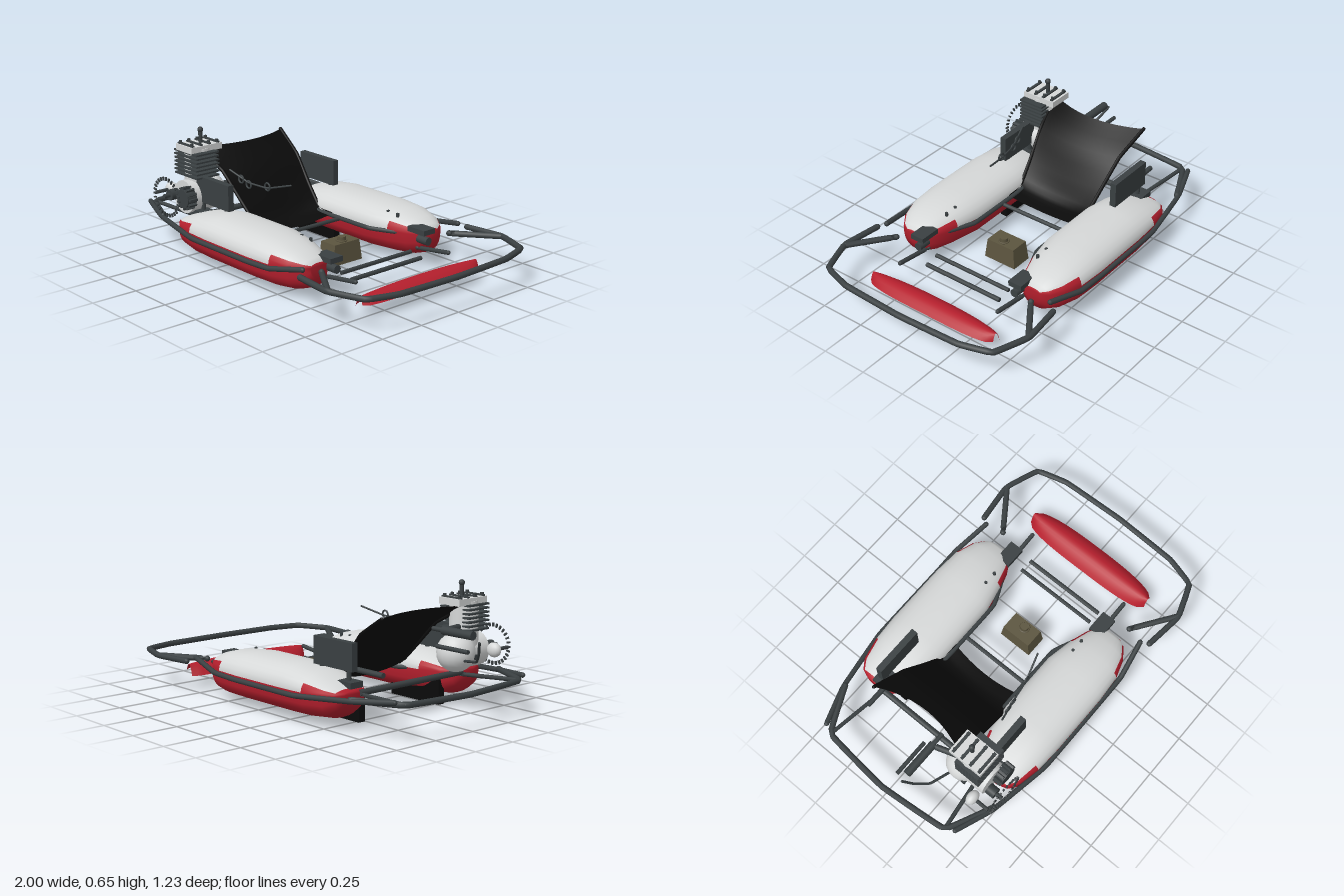
import * as THREE from 'three';

const mat = (name, color, extra = {}) => Object.assign(new THREE.MeshStandardMaterial({ color, ...extra }), { name });

export function createModel() {
  const red = mat('red bodywork', 0xb51f2d, { side: THREE.DoubleSide });
  const pale = mat('pale grey', 0xd6d8d8);
  const black = mat('black', 0x0b0b0b, { side: THREE.DoubleSide });
  const dark = mat('dark steel', 0x3a4042);
  const khaki = mat('khaki', 0x5c553f);

  const root = new THREE.Group();
  root.name = 'kart';
  const add = (name, geo, m, x = 0, y = 0, z = 0) => {
    const mesh = new THREE.Mesh(geo, m);
    mesh.name = name;
    mesh.position.set(x, y, z);
    root.add(mesh);
    return mesh;
  };
  const box = (name, m, w, h, d, x, y, z) => add(name, new THREE.BoxGeometry(w, h, d), m, x, y, z);
  // cylinder along a chosen axis
  const cyl = (name, m, axis, r, len, x, y, z, sides = 14) => {
    const g = new THREE.CylinderGeometry(r, r, len, sides);
    if (axis === 'x') g.rotateZ(Math.PI / 2);
    if (axis === 'z') g.rotateX(Math.PI / 2);
    return add(name, g, m, x, y, z);
  };
  // bent tube through points, with end caps
  const tube = (name, pts, r, m = dark) => {
    const v = pts.map((p) => new THREE.Vector3(...p));
    const curve = new THREE.CatmullRomCurve3(v, false, 'catmullrom', 0.08);
    add(name, new THREE.TubeGeometry(curve, (v.length - 1) * 8, r, 8), m);
    for (const p of [v[0], v[v.length - 1]]) add(name + 'End', new THREE.SphereGeometry(r, 8, 6), m, p.x, p.y, p.z);
  };

  // side pod lofted along x: [x, centre z, half width, top, bottom]
  const stations = [
    [-0.59, 0.40, 0.05, 0.185, 0.13], [-0.57, 0.40, 0.10, 0.197, 0.08], [-0.52, 0.40, 0.135, 0.217, 0.045],
    [-0.40, 0.395, 0.165, 0.255, 0.033], [-0.25, 0.39, 0.178, 0.275, 0.03], [0.1, 0.39, 0.178, 0.275, 0.03],
    [0.25, 0.40, 0.158, 0.262, 0.033], [0.35, 0.40, 0.125, 0.236, 0.04], [0.41, 0.395, 0.085, 0.21, 0.06],
    [0.43, 0.39, 0.05, 0.19, 0.11],
  ];
  const podGeometry = (s) => {
    const N = 24, last = stations.length - 1, mid = 0.17, pos = [], reds = [], pales = [];
    stations.forEach(([x, zc, w, top, bottom]) => {
      for (let j = 0; j < N; j++) {
        const a = (j / N) * Math.PI * 2, c = Math.cos(a), sn = Math.sin(a);
        const y = sn >= 0 ? mid + (top - mid) * sn ** 0.95 : mid - (mid - bottom) * (-sn) ** 0.65;
        pos.push(x, y, s * (zc + w * Math.sign(c) * Math.abs(c) ** 0.85));
      }
    });
    const tri = (list, a, b, c) => list.push(...(s > 0 ? [a, b, c] : [a, c, b]));
    for (let i = 0; i < last; i++) {
      for (let j = 0; j < N; j++) {
        const a = i * N + j, b = i * N + (j + 1) % N, c = a + N, d = b + N;
        const low = j < 2 || j > 9, end = i < 3 || i > 5;
        const list = j >= N / 2 || (low && end) || i === 0 ? reds : pales;
        tri(list, a, c, b);
        tri(list, b, c, d);
      }
    }
    for (let j = 1; j < N - 1; j++) {
      tri(reds, 0, j, j + 1);
      tri(reds, last * N, last * N + j + 1, last * N + j);
    }
    const g = new THREE.BufferGeometry();
    g.setAttribute('position', new THREE.Float32BufferAttribute(pos, 3));
    g.setIndex([...reds, ...pales]);
    g.addGroup(0, reds.length, 0);
    g.addGroup(reds.length, pales.length, 1);
    g.computeVertexNormals();
    return g;
  };

  // mirrored pairs
  for (const s of [1, -1]) {
    add('sidePod', podGeometry(s), [red, pale]);
    tube('sideRail', [[-0.92, 0.195, s * 0.44], [-0.71, 0.175, s * 0.515], [-0.36, 0.15, s * 0.572],
      [0.1, 0.15, s * 0.572], [0.27, 0.158, s * 0.572], [0.48, 0.2, s * 0.535]], 0.014);
    tube('innerRail', [[-0.42, 0.17, s * 0.28], [-0.26, 0.165, s * 0.205], [0.15, 0.165, s * 0.205], [0.3, 0.165, s * 0.27]], 0.012);
    tube('bumperBrace', [[0.51, 0.175, s * 0.44], [0.73, 0.18, s * 0.595]], 0.016);
    tube('rearBrace', [[-0.58, 0.16, s * 0.34], [-0.94, 0.18, s * 0.39]], 0.011);
    box('frontMount', dark, 0.12, 0.028, 0.08, 0.425, 0.2, s * 0.32);
    cyl('frontMountBolt', dark, 'x', 0.022, 0.07, 0.45, 0.15, s * 0.315);
    tube('frontStub', [[0.4, 0.095, s * 0.32], [0.62, 0.125, s * 0.32]], 0.012);
    box('sidePlate', dark, 0.28, 0.14, 0.035, -0.43, 0.34, s * 0.365);
    for (const x of [-0.53, -0.33]) cyl('plateFoot', dark, 'y', 0.012, 0.07, x, 0.25, s * 0.365, 8);
    cyl('plateFitting', dark, 'x', 0.014, 0.18, -0.63, 0.27, s * 0.32, 10);
    box('rearMount', dark, 0.1, 0.03, 0.08, -0.54, 0.21, s * 0.37);
    box('lowerSkid', black, 0.345, 0.13, 0.04, -0.35, 0.065, s * 0.275);
    for (const x of [0.2, 0.27]) cyl('podBolt', dark, 'y', 0.009, 0.02, x, 0.245, s * 0.3, 8);
  }

  // bumpers and cross bars
  const half = (pts) => [...pts.map(([x, y, z]) => [x, y, -z]), ...pts.slice(0, -1).reverse()];
  tube('frontBumper', half([[0.51, 0.18, 0.575], [0.73, 0.18, 0.6], [0.92, 0.178, 0.53], [0.97, 0.176, 0.36], [0.984, 0.175, 0]]), 0.016);
  tube('rearBumper', half([[-0.7, 0.18, 0.51], [-0.945, 0.18, 0.39], [-0.984, 0.178, 0]]), 0.016);
  cyl('crossBar', dark, 'z', 0.011, 0.48, 0.43, 0.1, 0, 8);
  cyl('crossBar', dark, 'z', 0.012, 0.48, 0.505, 0.085, 0, 8);
  cyl('floorBar', dark, 'z', 0.011, 0.42, -0.08, 0.16, 0, 8);
  cyl('rearAxle', dark, 'z', 0.016, 0.7, -0.59, 0.17, 0, 12);

  // sheet bent by a rule over u, v in 0..1
  const sheet = (nu, nv, f) => {
    const g = new THREE.PlaneGeometry(1, 1, nu, nv), p = g.attributes.position;
    for (let i = 0; i < p.count; i++) p.setXYZ(i, ...f(p.getX(i) + 0.5, p.getY(i) + 0.5));
    g.computeVertexNormals();
    return g;
  };

  // arched nose panel
  add('nosePanel', sheet(10, 28, (u, v) => {
    const t = v * 2 - 1, k = u * 2 - 1, w = 0.025 + 0.055 * Math.sqrt(1 - Math.abs(t) ** 3);
    return [0.732 + k * w, 0.115 - 0.05 * k * k - 0.012 * t * t + 0.012 * k, t * 0.4];
  }), red);

  // sling seat
  const seatLine = new THREE.CatmullRomCurve3([[-0.6, 0.53], [-0.46, 0.42], [-0.36, 0.27], [-0.28, 0.16], [-0.17, 0.14]]
    .map(([x, y]) => new THREE.Vector3(x, y, 0)));
  const seatPoint = (u, v) => {
    const p = seatLine.getPoint(1 - v), t = u * 2 - 1;
    const w = 0.22 + 0.07 * v * v;
    return [p.x - 0.075 * v * v * t * t + 0.02 * (1 - v) * t * t, p.y + 0.03 * (1 - v) * t * t, t * w];
  };
  add('seat', sheet(12, 16, seatPoint), black);
  for (const u of [0, 1]) tube('seatEdge', [1, 0.75, 0.5, 0.25, 0].map((v) => seatPoint(u, v)), 0.01, black);

  // fuel tank with filler cap
  const tank = new THREE.CylinderGeometry(0.1, 0.115, 0.11, 4, 1).rotateY(Math.PI / 4).scale(0.75, 1, 1.2);
  add('fuelTank', tank.toNonIndexed(), khaki, 0.15, 0.09, -0.005).geometry.computeVertexNormals();
  cyl('tankCap', khaki, 'y', 0.022, 0.03, 0.165, 0.155, 0);
  add('tankCapRing', new THREE.TorusGeometry(0.026, 0.005, 6, 16).rotateX(Math.PI / 2), khaki, 0.165, 0.148, 0);

  // engine block and cooling fins
  add('crankcase', new THREE.SphereGeometry(0.1, 20, 14), pale, -0.63, 0.29, 0.265);
  cyl('crankHousing', pale, 'z', 0.09, 0.16, -0.61, 0.29, 0.355, 22);
  cyl('engineBarrel', pale, 'y', 0.075, 0.3, -0.62, 0.4, 0.33, 20);
  for (let i = 0; i < 7; i++) box('coolingFin', dark, 0.2, 0.009, 0.15, -0.61, 0.405 + i * 0.021, 0.345);
  box('cylinderHead', pale, 0.14, 0.035, 0.2, -0.62, 0.55, 0.32);
  for (const z of [0.24, 0.295, 0.35, 0.405]) {
    for (const x of [-0.67, -0.57]) cyl('headBolt', dark, 'y', 0.009, 0.02, x, 0.575, z, 8);
    box('headRib', dark, 0.13, 0.008, 0.015, -0.62, 0.571, z);
  }
  cyl('sparkPlug', dark, 'y', 0.011, 0.08, -0.62, 0.6, 0.31, 10);
  add('plugCap', new THREE.SphereGeometry(0.016, 10, 8), dark, -0.62, 0.638, 0.31);

  // clutch, starter and chain ring
  cyl('clutch', dark, 'z', 0.05, 0.06, -0.555, 0.3, 0.455, 20);
  for (let i = 0; i < 12; i++) {
    const a = (i / 12) * Math.PI * 2;
    box('clutchTooth', dark, 0.016, 0.012, 0.05, -0.555 + 0.055 * Math.cos(a), 0.3 + 0.055 * Math.sin(a), 0.455).rotation.z = a;
  }
  for (let i = 0; i < 28; i++) {
    const a = (i / 28) * Math.PI * 2;
    box('chainLink', dark, 0.02, 0.009, 0.008, -0.64 + 0.108 * Math.cos(a), 0.3 + 0.1 * Math.sin(a), 0.527).rotation.z = a;
  }
  add('starterKnob', new THREE.SphereGeometry(0.042, 16, 12).scale(1, 0.9, 0.7), pale, -0.75, 0.3, 0.415);
  cyl('starterShaft', dark, 'z', 0.01, 0.08, -0.75, 0.3, 0.475, 8);
  cyl('outputHub', dark, 'z', 0.03, 0.05, -0.66, 0.3, 0.47, 14);
  cyl('outputShaft', dark, 'z', 0.012, 0.04, -0.66, 0.3, 0.51, 8);

  // exhaust, control rod and linkages
  cyl('exhaust', dark, 'x', 0.022, 0.2, -0.79, 0.43, 0.11);
  cyl('exhaustPipe', dark, 'x', 0.012, 0.1, -0.67, 0.43, 0.11, 10);
  cyl('controlRod', dark, 'x', 0.011, 0.21, -0.805, 0.36, 0.055, 10);
  tube('rearLinkage', [[-0.93, 0.4, 0.11], [-0.89, 0.33, 0.15], [-0.83, 0.28, 0.2], [-0.7, 0.26, 0.24]], 0.007);
  tube('exhaustStrut', [[-0.7, 0.43, 0.11], [-0.64, 0.42, 0.28]], 0.016);
  const cable = [[-0.38, 0.465, 0.3], [-0.26, 0.415, 0.27], [-0.13, 0.41, 0.25], [0.01, 0.448, 0.21]];
  tube('controlCable', cable, 0.005);
  for (const [x, y, z] of [[-0.31, 0.425, 0.28], [-0.26, 0.405, 0.27], [-0.13, 0.418, 0.25]])
    add('cableRing', new THREE.TorusGeometry(0.02, 0.005, 6, 16), dark, x, y, z);

  return root;
}
